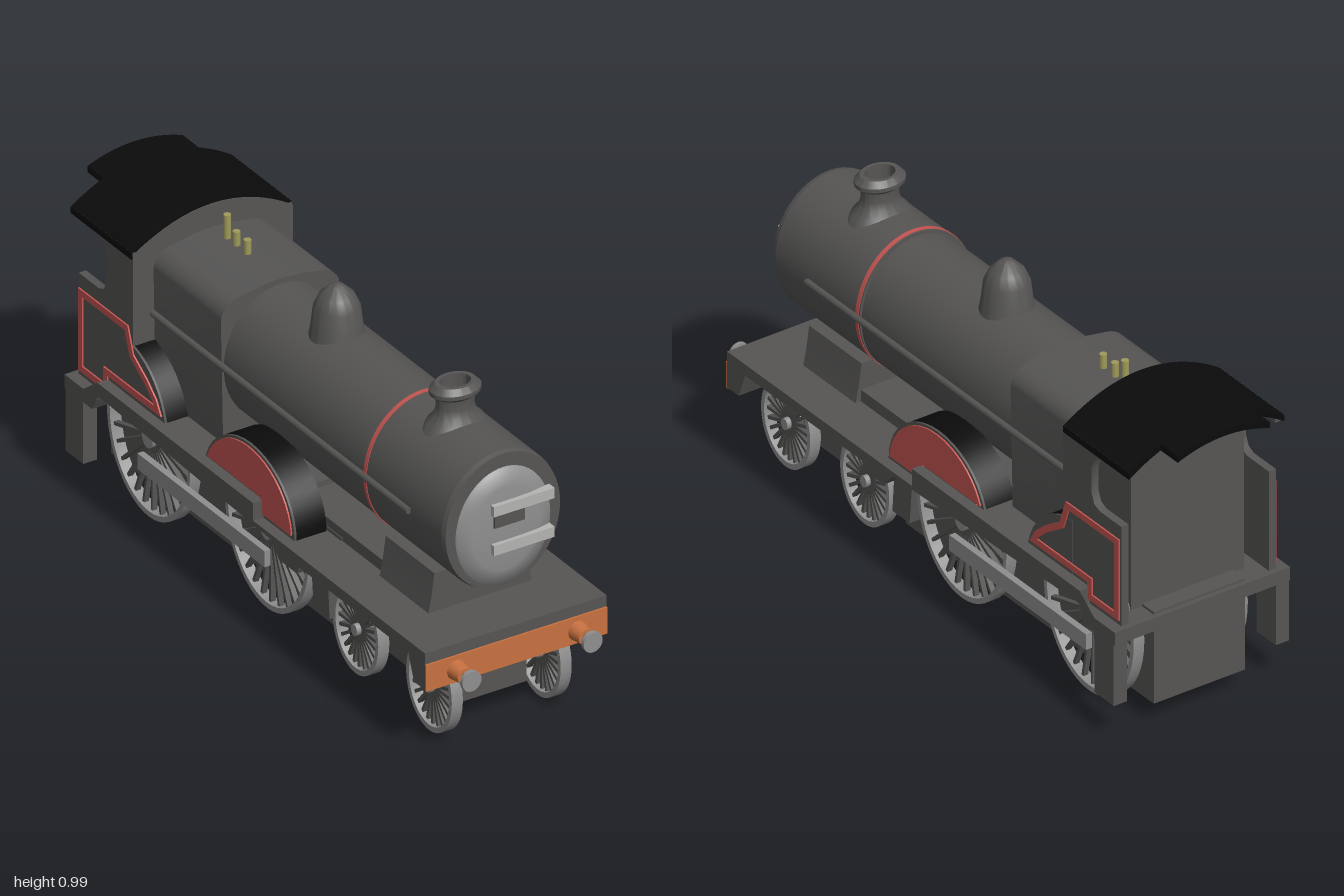
import * as THREE from 'three';
import { toCreasedNormals } from 'three/addons/utils/BufferGeometryUtils.js';

const mat = (name, color, extra = {}) => {
  const m = new THREE.MeshStandardMaterial({ color, ...extra });
  m.name = name;
  return m;
};

export function createModel() {
  const grey = mat('body grey', 0x565554);
  const black = mat('black', 0x0b0b0b);
  const red = mat('lining red', 0xc65653);
  const orange = mat('beam orange', 0xc87141);
  const steel = mat('steel', 0x8f8f8f);
  const pale = mat('pale metal', 0xb4b4b2);
  const brass = mat('dull brass', 0xa09c5c);

  const model = new THREE.Group();
  model.name = 'steamLocomotive';
  const add = (name, geo, material, parent = model) => {
    const mesh = new THREE.Mesh(geo, material);
    mesh.name = name;
    parent.add(mesh);
    return mesh;
  };
  // box given by its limits
  const box = (name, m, x0, x1, y0, y1, z0, z1) =>
    add(name, new THREE.BoxGeometry(x1 - x0, y1 - y0, z1 - z0)
      .translate((x0 + x1) / 2, (y0 + y1) / 2, (z0 + z1) / 2), m);
  const v2 = (pts) => pts.map(([a, b]) => new THREE.Vector2(a, b));
  const extrude = (shape, depth) => toCreasedNormals(
    new THREE.ExtrudeGeometry(shape, { depth, bevelEnabled: false }), 0.6);
  // side profile in (z, y), spanning x0 to x1
  const sideGeo = (shape, x0, x1) =>
    extrude(shape, x1 - x0).rotateY(-Math.PI / 2).translate(x1, 0, 0);
  const side = (name, m, pts, x0, x1) => add(name, sideGeo(new THREE.Shape(v2(pts)), x0, x1), m);
  const pair = (name, m, pts, x0, x1) => {
    side(name + 'Left', m, pts, x0, x1);
    side(name + 'Right', m, pts, -x1, -x0);
  };
  // front profile in (x, y), spanning z0 to z1
  const front = (name, m, pts, z0, z1) =>
    add(name, extrude(new THREE.Shape(v2(pts)), z1 - z0).translate(0, 0, z0), m);
  const lathe = (pts, seg = 48) => toCreasedNormals(new THREE.LatheGeometry(v2(pts), seg), 0.6);
  const arc = (cz, cy, rz, ry, a0, a1, n = 20) => Array.from({ length: n + 1 }, (_, i) => {
    const a = a0 + (a1 - a0) * i / n;
    return [cz + rz * Math.cos(a), cy + ry * Math.sin(a)];
  });
  // thin outlined border of a counter-clockwise polygon
  const lining = (name, pts, w, x) => {
    const p = v2(pts), n = p.length;
    const inner = p.map((c, i) => {
      const d1 = c.clone().sub(p[(i + n - 1) % n]).normalize();
      const d2 = p[(i + 1) % n].clone().sub(c).normalize();
      const m = new THREE.Vector2(-d1.y - d2.y, d1.x + d2.x);
      return c.clone().addScaledVector(m, 2 * w / Math.max(m.lengthSq(), 0.8));
    });
    for (const s of [1, -1]) {
      const shape = new THREE.Shape(p);
      shape.holes.push(new THREE.Path(inner));
      add(name + (s > 0 ? 'Left' : 'Right'),
        s > 0 ? sideGeo(shape, x, x + 0.005) : sideGeo(shape, -x - 0.005, -x), red);
    }
  };

  // boiler, smokebox and door, slightly taller than wide
  const barrel = (name, m, pts, rx, ry, cy) => {
    const mesh = add(name, lathe(pts, 64).rotateX(Math.PI / 2), m);
    mesh.scale.set(rx, ry, 1);
    mesh.position.y = cy;
  };
  barrel('boiler', grey, [[1, -0.3], [1, 0.46]], 0.184, 0.208, 0.642);
  barrel('smokebox', grey, [[0, 0.44], [1, 0.44], [1, 0.835], [0.98, 0.85], [0, 0.85]], 0.19, 0.213, 0.648);
  barrel('boilerBand', red, [[0.9, 0.445], [1, 0.445], [1, 0.459], [0.9, 0.459]], 0.192, 0.215, 0.648);
  barrel('smokeboxDoor', steel, [[1, 0.848], [0.97, 0.856], [0.7, 0.865], [0.35, 0.869], [0, 0.87]], 0.155, 0.186, 0.63);
  for (const y of [0.58, 0.702]) box('doorHinge', pale, -0.05, 0.148, y - 0.016, y + 0.016, 0.855, 0.882);
  box('doorPlate', grey, -0.043, 0.055, 0.645, 0.681, 0.855, 0.876);

  // chimney and dome
  const chimney = add('chimney', lathe([[0.09, 0.8], [0.066, 0.855], [0.05, 0.875], [0.044, 0.9],
    [0.046, 0.93], [0.06, 0.943], [0.06, 0.955], [0.047, 0.972], [0.036, 0.972], [0.034, 0.91], [0, 0.91]]), grey);
  chimney.scale.x = 1.28;
  chimney.position.z = 0.61;
  add('dome', lathe([[0.085, 0.81], [0.074, 0.85], [0.066, 0.92], [0.05, 0.955], [0.02, 0.984], [0, 0.99]]), grey)
    .position.z = 0.015;

  // firebox with rounded shoulders, and whistles
  front('firebox', grey, [[-0.185, 0.36], [0.185, 0.36], [0.193, 0.79], ...arc(0.118, 0.79, 0.075, 0.062, 0.1, 1.4, 6),
    [0.06, 0.863], [0, 0.867], [-0.06, 0.863], ...arc(-0.118, 0.79, 0.075, 0.062, Math.PI - 1.4, Math.PI - 0.1, 6),
    [-0.193, 0.79]], -0.62, -0.27);
  [[-0.435, 0.91], [-0.49, 0.91], [-0.537, 0.94]].forEach(([z, top]) => {
    add('whistle', new THREE.CylinderGeometry(0.011, 0.011, top - 0.85, 10)
      .translate(0, (top + 0.85) / 2, z), brass);
  });

  // handrails along the boiler
  for (const s of [1, -1]) {
    add('handrail', new THREE.CylinderGeometry(0.01, 0.01, 1.29, 10).rotateX(Math.PI / 2)
      .translate(s * 0.196, 0.655, 0.035), grey);
  }

  // saddle and frames
  front('saddle', grey, [[-0.17, 0.34], [0.17, 0.34], [0.158, 0.4], [0.148, 0.47], [-0.148, 0.47], [-0.158, 0.4]], 0.49, 0.735);
  box('upperFrame', grey, -0.15, 0.15, 0.33, 0.387, -0.3, 0.5);
  box('mainFrame', grey, -0.153, 0.153, 0.067, 0.36, -0.885, 0.275);
  box('bogieFrame', grey, -0.115, 0.115, 0.075, 0.22, 0.4, 0.79);
  box('bogieBolster', grey, -0.115, 0.115, 0.2, 0.255, 0.5, 0.67);
  side('bogiePivot', grey, [[0.52, 0.25], [0.64, 0.25], [0.69, 0.33], [0.48, 0.33]], -0.11, 0.11);
  pair('guardBracket', grey, [[0.2, 0.12], [0.28, 0.12], [0.265, 0.33], [0.18, 0.33]], 0.15, 0.195);

  // running board with raised middle
  side('runningBoard', grey, [[0.915, 0.235], [0.915, 0.35], [0.05, 0.35], [0.05, 0.405], [-0.735, 0.405],
    [-0.735, 0.352], [-0.9, 0.352], [-0.9, 0.31], [-0.86, 0.31], [-0.76, 0.31], [-0.73, 0.365], [0.14, 0.335],
    [0.18, 0.29], [0.27, 0.29], [0.28, 0.315], [0.83, 0.315], [0.86, 0.235]], -0.295, 0.295);
  pair('rearStep', grey, [[-0.895, 0.115], [-0.805, 0.115], [-0.805, 0.33], [-0.895, 0.33]], 0.25, 0.295);

  // buffer beam and buffers
  box('bufferBeam', orange, -0.295, 0.295, 0.232, 0.315, 0.912, 0.921);
  for (const s of [1, -1]) {
    const buffer = new THREE.Group();
    buffer.name = 'buffer';
    buffer.position.set(s * 0.197, 0.272, 0);
    const rod = (name, r0, r1, z0, z1, m) => add(name, new THREE.CylinderGeometry(r1, r0, z1 - z0, 24)
      .rotateX(Math.PI / 2).translate(0, 0, (z0 + z1) / 2), m, buffer);
    rod('bufferShank', 0.031, 0.024, 0.915, 0.965, orange);
    rod('bufferRod', 0.012, 0.012, 0.96, 0.99, grey);
    rod('bufferHead', 0.031, 0.031, 0.987, 1, steel);
    model.add(buffer);
  }

  // splashers
  const splash = arc(-0.022, 0.35, 0.228, 0.198, 0, Math.PI);
  const rearSplash = [[-0.655, 0.35], ...arc(-0.655, 0.35, 0.215, 0.225, 0, Math.PI / 2, 12)];
  pair('splasher', black, splash, 0.157, 0.254);
  pair('splasherFace', grey, splash, 0.254, 0.261);
  pair('rearSplasher', black, rearSplash, 0.157, 0.254);
  pair('rearSplasherFace', grey, rearSplash, 0.254, 0.261);
  lining('splasherLining', [[0.194, 0.362], ...arc(-0.022, 0.35, 0.218, 0.19, 0.12, 2.8),
    [-0.228, 0.412], [0.04, 0.412], [0.04, 0.362]], 0.017, 0.261);

  // cab
  const roofY = (x) => 0.947 - 0.085 * (x / 0.26) ** 2;
  const arch = (w, dy) => Array.from({ length: 17 }, (_, i) => {
    const x = w - 2 * w * i / 16;
    return [x, roofY(x) + dy];
  });
  front('cabFront', grey, [[-0.26, 0.35], [0.26, 0.35], ...arch(0.26, -0.008)], -0.63, -0.609);
  pair('cabSide', grey, [[-0.61, 0.35], [-0.61, 0.862], [-0.91, 0.862], [-0.91, 0.84], [-0.79, 0.84], [-0.76, 0.825],
    [-0.742, 0.79], [-0.742, 0.71], [-0.755, 0.68], [-0.78, 0.67], [-0.882, 0.67], [-0.882, 0.35]], 0.236, 0.26);
  front('cabInterior', grey, [[-0.19, 0.35], [0.19, 0.35], ...arch(0.19, -0.015)], -0.83, -0.62);
  const roof = (name, w, z0, z1) =>
    front(name, black, [...arch(w, 0), ...arch(w, -0.02).reverse()], z0, z1);
  roof('cabRoof', 0.262, -0.92, -0.612);
  roof('roofOverhang', 0.155, -1, -0.92);
  lining('cabLining', [[-0.46, 0.42], [-0.485, 0.462], [-0.53, 0.502], [-0.6, 0.548], [-0.628, 0.627],
    [-0.877, 0.627], [-0.877, 0.368], [-0.73, 0.368], [-0.73, 0.42]], 0.02, 0.261);

  // spoked wheels
  const wheel = (name, x, y, z, r, ry, spokes) => {
    const g = new THREE.Group();
    g.name = name;
    const t = 0.018, i = r - 0.014;
    add('rim', lathe([[i, -t], [r, -t], [r, t], [i, t], [i, -t]]).rotateZ(Math.PI / 2), steel, g);
    add('hub', new THREE.CylinderGeometry(r * 0.13, r * 0.13, 0.046, 20).rotateZ(Math.PI / 2), steel, g);
    for (let k = 0; k < spokes; k++) {
      add('spoke', new THREE.BoxGeometry(0.016, i - r * 0.08, 0.009).translate(0, (i + r * 0.1) / 2, 0)
        .rotateX(k / spokes * Math.PI * 2), grey, g);
    }
    g.scale.y = ry / r;
    g.position.set(x, y, z);
    model.add(g);
  };
  const axle = (y, z) => add('axle', new THREE.CylinderGeometry(0.012, 0.012, 0.36, 16)
    .rotateZ(Math.PI / 2).translate(0, y, z), steel);
  for (const z of [0.78, 0.41]) {
    for (const s of [1, -1]) wheel('bogieWheel', s * 0.177, 0.15, z, 0.115, 0.137, 24);
    axle(0.15, z);
  }
  for (const z of [-0.04, -0.635]) {
    for (const s of [1, -1]) wheel('drivingWheel', s * 0.174, 0.25, z, 0.21, 0.25, 28);
    axle(0.25, z);
  }

  // coupling rods
  pair('couplingRod', steel, [[-0.655, 0.147], [-0.015, 0.147], [-0.015, 0.197], [-0.655, 0.197]], 0.196, 0.216);

  return model;
}
